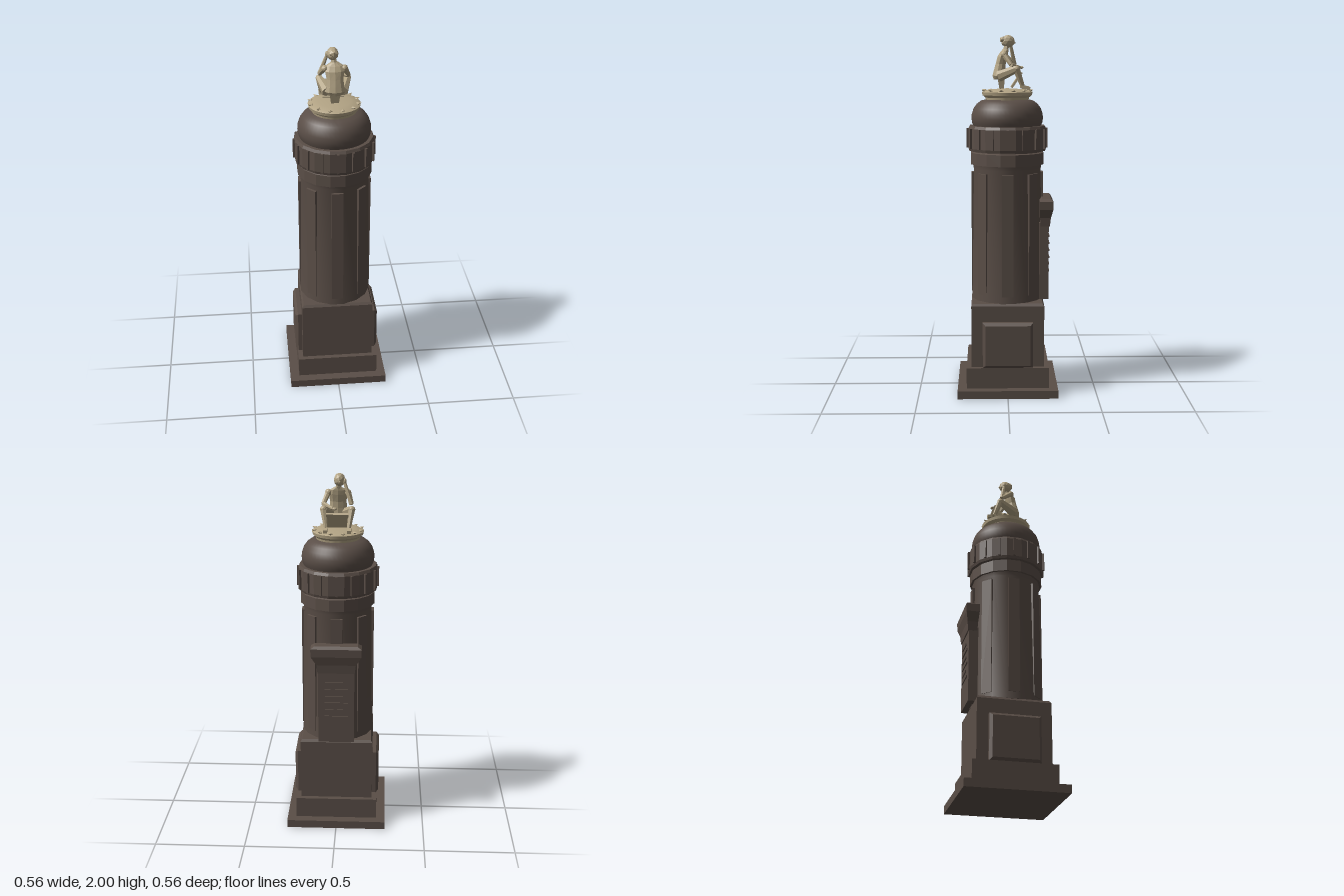
import * as THREE from 'three';
import { toCreasedNormals } from 'three/addons/utils/BufferGeometryUtils.js';

const stone = new THREE.MeshStandardMaterial({ color: 0x5a4e47 });
stone.name = 'dark stone';
const bronze = new THREE.MeshStandardMaterial({ color: 0xb3a485 });
bronze.name = 'pale bronze';

export function createModel() {
  const model = new THREE.Group();
  model.name = 'monumentColumn';

  const add = (parent, name, geo, mat, x = 0, y = 0, z = 0) => {
    const m = new THREE.Mesh(geo, mat);
    m.name = name;
    m.position.set(x, y, z);
    parent.add(m);
    return m;
  };
  const flat = (g) => toCreasedNormals(g, 0.01);
  const box = (name, w, y0, y1, d, mat = stone) =>
    add(model, name, new THREE.BoxGeometry(w, y1 - y0, d), mat, 0, (y0 + y1) / 2);
  const lathe = (pts, sides, crease) => toCreasedNormals(
    new THREE.LatheGeometry(pts.map((p) => new THREE.Vector2(...p)), sides, Math.PI / sides), crease);

  // Closed solid through horizontal rings [y, cx, cz, rx, rz]; four sides give rectangles
  const loft = (rings, n) => {
    const pos = [], idx = [], k = n === 4 ? Math.SQRT2 : 1;
    for (const [y, cx, cz, rx, rz] of rings) {
      for (let i = 0; i < n; i++) {
        const a = ((i + 0.5) / n) * Math.PI * 2;
        pos.push(cx + Math.cos(a) * rx * k, y, cz + Math.sin(a) * rz * k);
      }
    }
    const top = (rings.length - 1) * n;
    for (let i = 0; i < n; i++) {
      const j = (i + 1) % n;
      for (let r = 0; r < top; r += n) {
        idx.push(r + i, r + n + i, r + j, r + j, r + n + i, r + n + j);
      }
      if (i > 0 && i < n - 1) idx.push(0, i, j, top, top + j, top + i);
    }
    const g = new THREE.BufferGeometry();
    g.setAttribute('position', new THREE.Float32BufferAttribute(pos, 3));
    g.setIndex(idx);
    const out = g.toNonIndexed();
    out.computeVertexNormals();
    return out;
  };

  // Stepped base
  box('baseSlab', 0.56, 0, 0.045, 0.56);
  box('baseStep', 0.46, 0.045, 0.162, 0.46);
  add(model, 'pedestalBlock', loft([
    [0.162, 0, 0, 0.203, 0.203], [0.508, 0, 0, 0.203, 0.203], [0.522, 0, 0, 0.194, 0.194]], 4), stone);

  // Bevelled panels on both sides of the pedestal
  const panel = new THREE.Shape();
  panel.moveTo(-0.125, 0.177).lineTo(0.125, 0.177).lineTo(0.125, 0.405).lineTo(-0.125, 0.405);
  for (const s of [-1, 1]) {
    const g = new THREE.ExtrudeGeometry(panel, {
      depth: 0.03, bevelSize: 0.015, bevelThickness: 0.015, bevelSegments: 1 });
    add(model, 'sidePanel', g, stone, s * 0.195).rotation.y = s * Math.PI / 2;
  }

  // Tapered shaft and cornice
  add(model, 'columnShaft', lathe([[0, 0.52], [0.202, 0.52], [0.19, 1.26], [0.195, 1.285], [0, 1.285]], 16, 0.5), stone);
  add(model, 'lowerCornice', lathe([[0, 1.285], [0.207, 1.285], [0.207, 1.35], [0.196, 1.355],
    [0.196, 1.37], [0, 1.37]], 16, 0.2), stone);
  add(model, 'upperRing', lathe([[0, 1.36], [0.215, 1.36], [0.22, 1.375], [0.22, 1.485], [0.212, 1.5],
    [0, 1.5]], 16, 0.2), stone);

  // Shaft strips and ring ribs
  const around = (count, offset, make) => {
    for (let i = 0; i < count; i++) {
      const g = new THREE.Group();
      g.rotation.y = ((i + offset) / count) * Math.PI * 2;
      model.add(g);
      make(g);
    }
  };
  around(8, 0, (g) => {
    g.name = 'shaftStrip';
    add(g, 'strip', new THREE.BoxGeometry(0.064, 0.68, 0.03), stone, 0, 0.9, 0.186);
  });
  around(16, 0, (g) => {
    g.name = 'ringRib';
    add(g, 'rib', new THREE.BoxGeometry(0.014, 0.11, 0.02), stone, 0, 1.43, 0.217);
  });

  // Smooth dome
  add(model, 'dome', lathe([[0, 1.49], [0.185, 1.49], [0.196, 1.515], [0.2, 1.54], [0.198, 1.565],
    [0.188, 1.595], [0.17, 1.62], [0.145, 1.638], [0.1, 1.648], [0, 1.65]], 48, 0.7), stone);

  // Rear lectern with flared head
  const lectern = new THREE.Group();
  lectern.name = 'lectern';
  model.add(lectern);
  add(lectern, 'lecternBody', loft([[0.525, 0, -0.205, 0.1, 0.026], [0.96, 0, -0.205, 0.1, 0.026]], 4), stone);
  add(lectern, 'lecternHead', loft([
    [0.94, 0, -0.211, 0.102, 0.026], [0.99, 0, -0.212, 0.108, 0.03], [1.04, 0, -0.217, 0.138, 0.037],
    [1.085, 0, -0.217, 0.14, 0.038], [1.1, 0, -0.217, 0.118, 0.026]], 4), stone);
  for (let i = 0; i < 6; i++) {
    add(lectern, 'reliefBar', new THREE.BoxGeometry(i % 2 ? 0.1 : 0.13, 0.01, 0.008), stone,
      i % 2 ? 0.012 : 0, 0.68 + i * 0.04, -0.233);
  }

  // Statue stand with a wreath of leaves
  add(model, 'statueStand', lathe([[0, 1.635], [0.118, 1.635], [0.122, 1.655], [0.138, 1.668], [0.142, 1.685],
    [0.125, 1.694], [0.09, 1.7], [0, 1.706]], 40, 0.5), bronze);
  around(12, 0.5, (g) => {
    g.name = 'leaf';
    const leaf = add(g, 'leafBlade', flat(new THREE.OctahedronGeometry(1)), bronze, 0, 1.692, 0.127);
    leaf.scale.set(0.014, 0.009, 0.021);
    leaf.rotation.x = -0.3;
  });

  // Seated figure, facing the back
  const figure = new THREE.Group();
  figure.name = 'seatedFigure';
  model.add(figure);
  const up = new THREE.Vector3(0, 1, 0);
  const limb = (name, a, b, ra, rb) => {
    const A = new THREE.Vector3(...a), d = new THREE.Vector3(...b).sub(A);
    const g = flat(new THREE.CylinderGeometry(rb, ra, d.length(), 7));
    const m = add(figure, name, g, bronze);
    m.position.copy(A).addScaledVector(d, 0.5);
    m.quaternion.setFromUnitVectors(up, d.normalize());
  };
  const ball = (name, p, sx, sy, sz, detail = 1) => {
    const m = add(figure, name, flat(new THREE.IcosahedronGeometry(1, detail)), bronze, ...p);
    m.scale.set(sx, sy, sz);
  };

  add(figure, 'torso', loft([
    [1.755, 0, 0.045, 0.042, 0.03], [1.775, 0, 0.046, 0.058, 0.036], [1.805, 0, 0.042, 0.05, 0.032],
    [1.84, 0, 0.036, 0.046, 0.028], [1.88, 0, 0.026, 0.054, 0.028], [1.905, 0, 0.016, 0.046, 0.022],
    [1.922, 0, 0.008, 0.018, 0.015]], 10), bronze);
  limb('neck', [0, 1.91, 0.01], [-0.006, 1.945, 0], 0.016, 0.014);
  ball('head', [-0.008, 1.963, -0.004], 0.031, 0.036, 0.038);
  ball('hairKnot', [-0.006, 1.972, 0.022], 0.026, 0.02, 0.02, 0);
  ball('nose', [-0.01, 1.956, -0.04], 0.006, 0.008, 0.007, 0);

  for (const s of [-1, 1]) {
    const knee = [s * 0.076, 1.812, -0.05], ankle = [s * 0.062, 1.718, -0.085];
    limb('thigh', [s * 0.04, 1.772, 0.045], knee, 0.031, 0.02);
    ball('knee', knee, 0.019, 0.019, 0.019);
    limb('shin', knee, ankle, 0.019, 0.011);
    const foot = new THREE.BoxGeometry(0.022, 0.018, 0.052);
    add(figure, 'foot', foot, bronze, s * 0.064, 1.71, -0.1).rotation.x = -0.2;
    ball('shoulder', [s * 0.052, 1.89, 0.018], 0.019, 0.019, 0.019);
  }

  // One arm props up the head, the other rests across the lap
  limb('rightUpperArm', [-0.054, 1.89, 0.018], [-0.074, 1.84, -0.04], 0.016, 0.012);
  limb('rightForearm', [-0.074, 1.838, -0.042], [-0.038, 1.945, -0.02], 0.013, 0.009);
  ball('rightHand', [-0.036, 1.955, -0.018], 0.011, 0.018, 0.012);
  limb('leftUpperArm', [0.054, 1.89, 0.018], [0.078, 1.835, -0.02], 0.016, 0.012);
  limb('leftForearm', [0.078, 1.835, -0.02], [0.025, 1.82, -0.07], 0.013, 0.008);
  ball('leftHand', [0.015, 1.82, -0.078], 0.014, 0.008, 0.012);

  // Tilted tablet between the shins, and the seat
  const tablet = add(figure, 'tablet', new THREE.BoxGeometry(0.12, 0.1, 0.012), bronze, 0, 1.752, -0.052);
  tablet.rotation.x = -0.6;
  add(figure, 'seatSupport', loft([[1.695, 0, 0.03, 0.02, 0.012], [1.77, 0, 0.035, 0.03, 0.02]], 4), bronze);
  return model;
}
